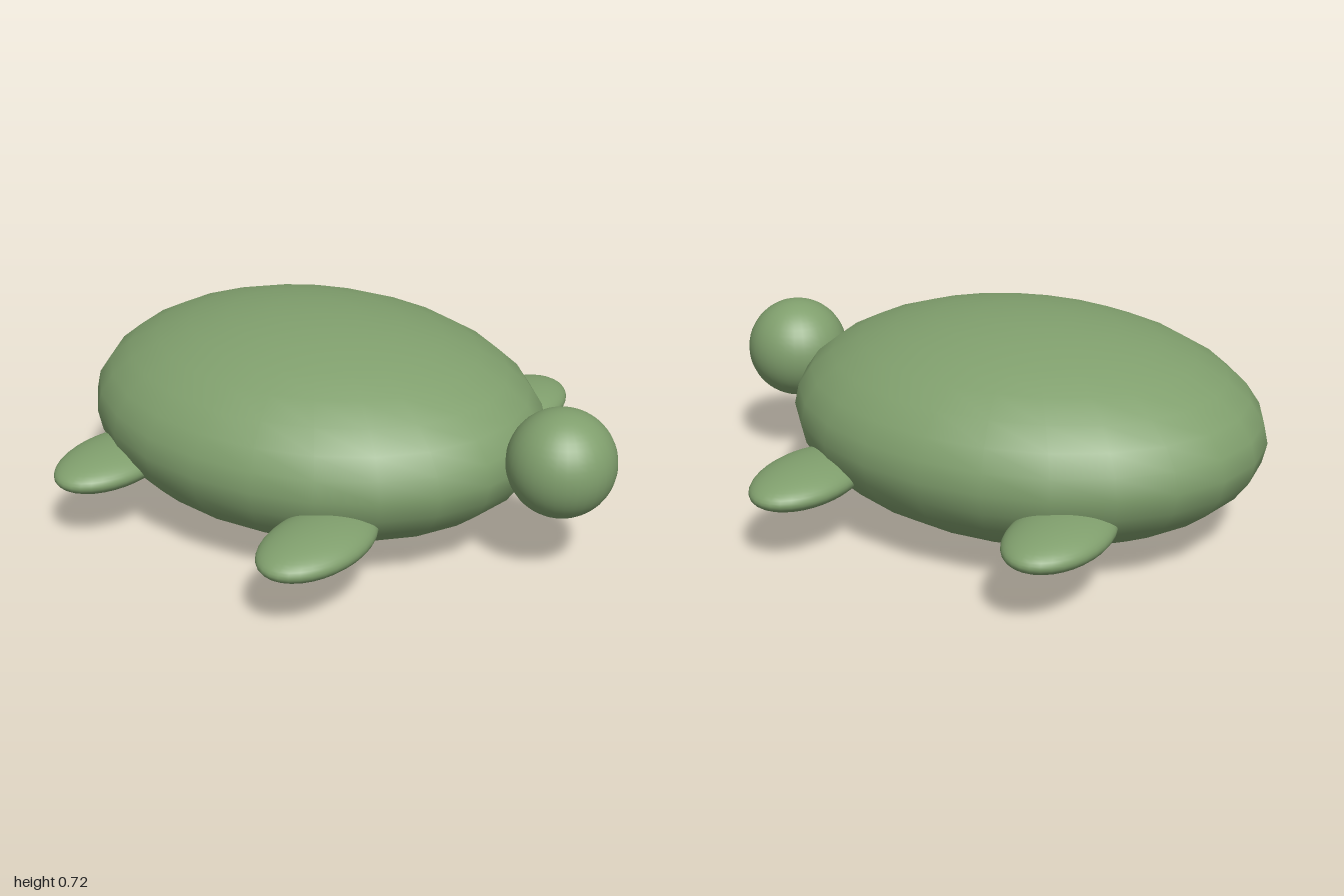
import * as THREE from 'three';

export function createModel() {
  const group = new THREE.Group();
  const green = new THREE.MeshStandardMaterial({ color: 0x809f6d });
  green.name = 'turtleGreen';

  // Smooth ellipsoid with the given centre and radii
  function ellipsoid(name, center, radii, wide, high) {
    const geometry = new THREE.SphereGeometry(1, wide, high);
    geometry.scale(...radii);
    const mesh = new THREE.Mesh(geometry, green);
    mesh.name = name;
    mesh.position.set(...center);
    group.add(mesh);
  }

  // Body and head
  ellipsoid('shell', [0, 0.365, -0.155], [0.68, 0.362, 0.845], 24, 16);
  ellipsoid('head', [0, 0.425, 0.82], [0.18, 0.18, 0.18], 32, 24);

  // Flippers, mirrored left and right
  for (const [side, s] of [['left', 1], ['right', -1]]) {
    ellipsoid(side + 'FrontFlipper', [s * 0.625, 0.255, 0.307], [0.25, 0.066, 0.155], 32, 24);
    ellipsoid(side + 'RearFlipper', [s * 0.568, 0.255, -0.605], [0.248, 0.066, 0.155], 32, 24);
  }
  return group;
}
